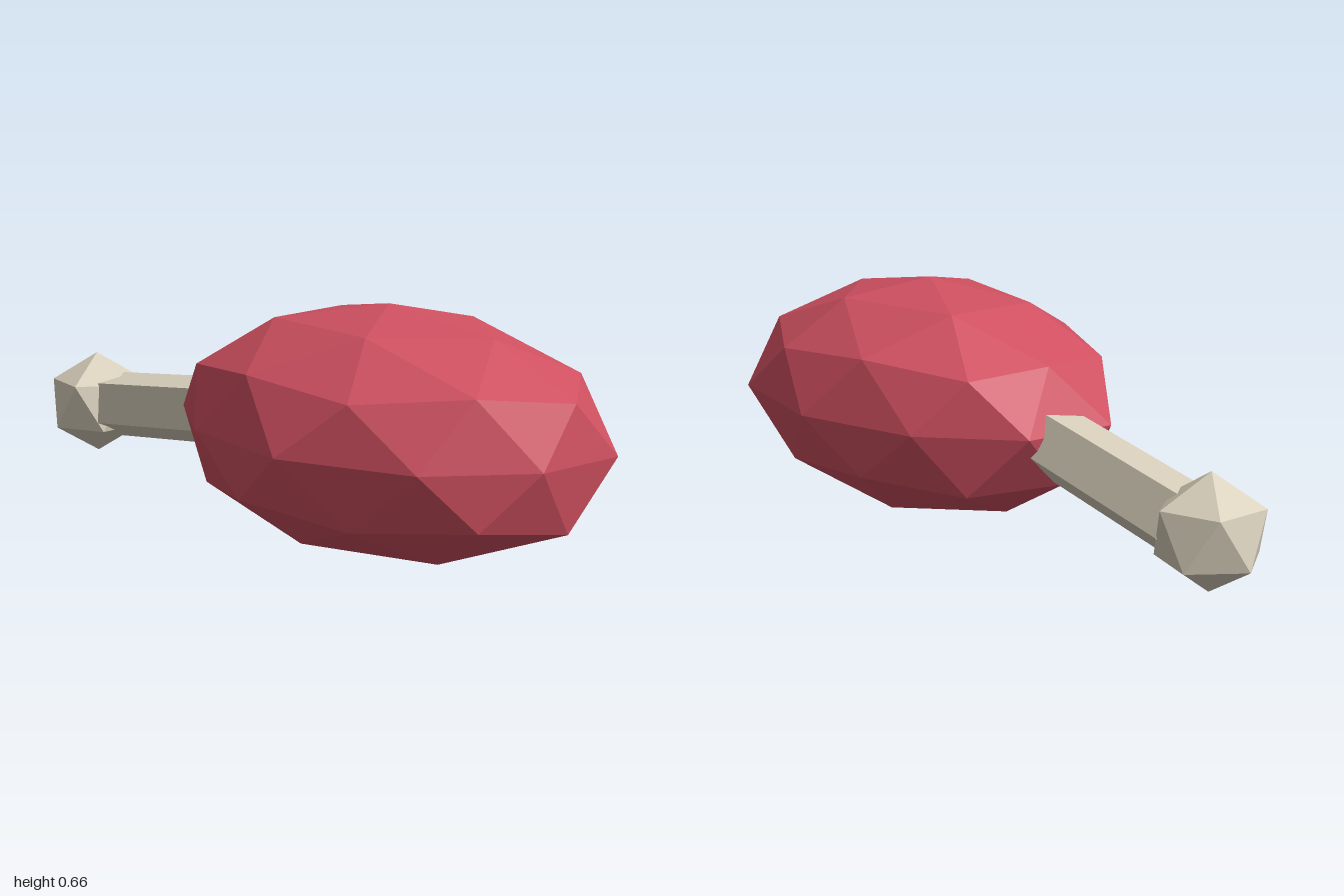
import * as THREE from 'three';

// icosahedron standing on one corner, one lower corner pointing to -x
const uprightIcosahedron = (radius, detail) => new THREE.IcosahedronGeometry(radius, detail).rotateZ(-0.5536);

// uneven meat: corners in these directions are pushed in or out by a factor
const dents = [
  [0.951, 0, 0.309, 0.94],
  [-0.951, 0, -0.309, 0.97],
  [0.588, 0, -0.809, 1.03],
  [0.588, 0, 0.809, 0.98],
  [-0.588, 0, 0.809, 0.96],
  [-0.588, 0, -0.809, 0.96],
  [-0.851, 0.526, 0, 0.94],
  [0.851, -0.526, 0, 1.03],
  [0.526, 0.851, 0, 0.98],
];

function meatGeometry() {
  const geometry = uprightIcosahedron(1, 1);
  const pos = geometry.attributes.position;
  const v = new THREE.Vector3();
  const d = new THREE.Vector3();
  for (let i = 0; i < pos.count; i++) {
    v.fromBufferAttribute(pos, i);
    const dent = dents.find(([x, y, z]) => v.dot(d.set(x, y, z)) > 0.99);
    if (dent) v.multiplyScalar(dent[3]);
    v.multiply(d.set(0.6623, 0.341, 0.458));
    // the underside rests flat
    pos.setXYZ(i, v.x, Math.max(v.y, -0.319), v.z);
  }
  geometry.computeVertexNormals();
  return geometry;
}

export function createModel() {
  const meatRed = new THREE.MeshStandardMaterial({ color: 0xcf5060, flatShading: true });
  meatRed.name = 'meatRed';
  const boneCream = new THREE.MeshStandardMaterial({ color: 0xd9d0bc, flatShading: true });
  boneCream.name = 'boneCream';

  const group = new THREE.Group();
  group.name = 'drumstick';
  const add = (name, geometry, material, x, y, z) => {
    const mesh = new THREE.Mesh(geometry, material);
    mesh.name = name;
    mesh.position.set(x, y, z);
    group.add(mesh);
  };

  // faceted egg of meat
  add('meat', meatGeometry(), meatRed, 0.37, 0.322, 0);

  // five-sided bone shaft, sloping up and forward into the meat
  const shaft = new THREE.CylinderGeometry(0.104, 0.104, 0.8, 5, 1, false, -Math.PI / 4);
  shaft.rotateZ(-Math.PI / 2).rotateZ(0.118).rotateY(-0.127);
  add('boneShaft', shaft, boneCream, -0.4, 0.262, -0.035);

  // bone end
  add('boneKnob', uprightIcosahedron(0.156, 0), boneCream, -0.861, 0.214, -0.08);

  return group;
}
